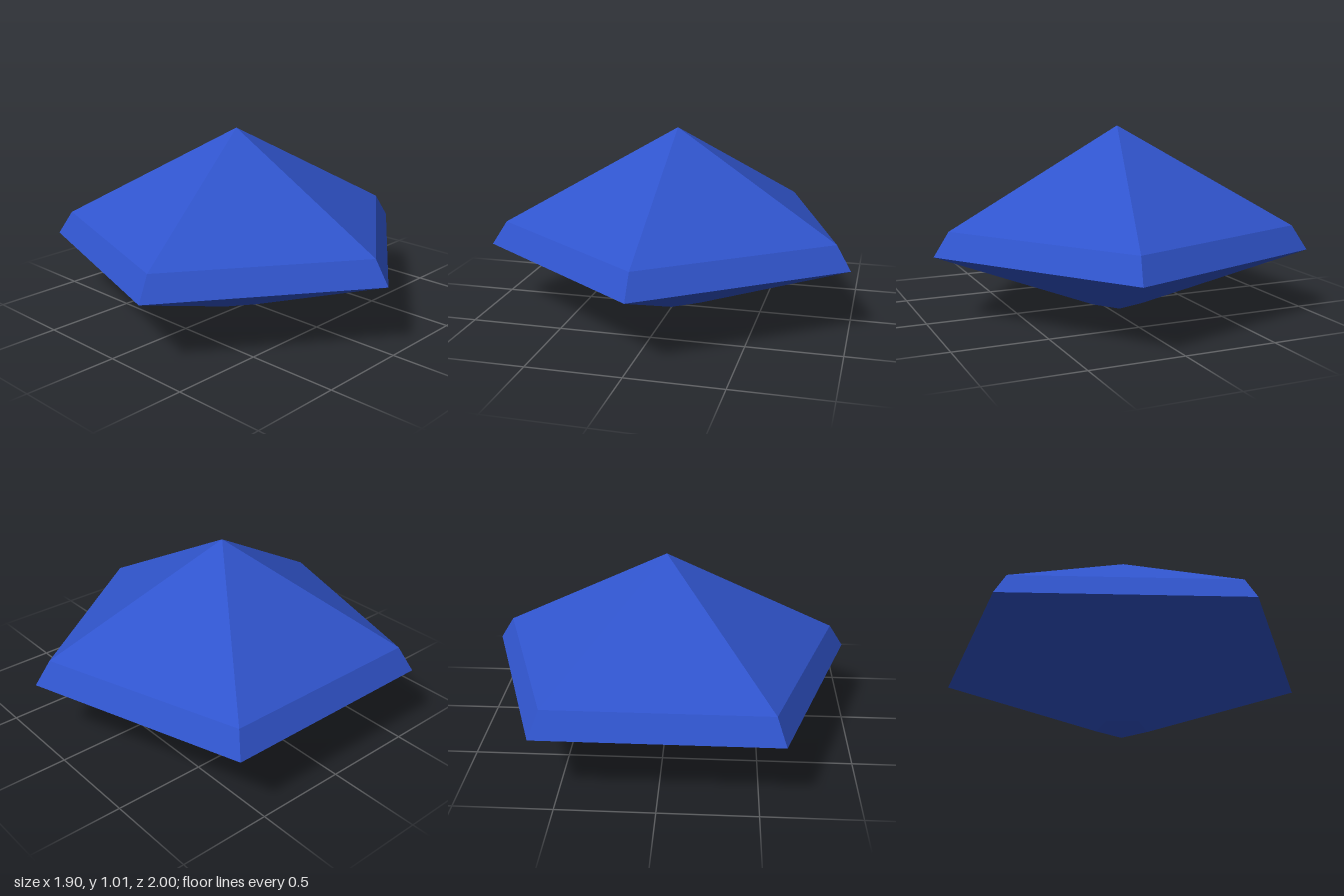
import * as THREE from 'three';

export function createModel() {
  const group = new THREE.Group();
  group.name = 'gem';

  // Five-sided gem: small flat base, wide girdle, bevelled rim, pointed crown
  const profile = [
    [0, 0], [0.147, 0], [1.0515, 0.355], [0.968, 0.485], [0, 1.01],
  ].map(([r, y]) => new THREE.Vector2(r, y));

  // Start the turn at +x so that one corner points that way
  const geometry = new THREE.LatheGeometry(profile, 5, Math.PI / 2);
  const material = new THREE.MeshStandardMaterial({ color: 0x3054cc, flatShading: true });
  const gem = new THREE.Mesh(geometry, material);
  gem.name = 'cutStone';
  gem.position.x = -0.1; // centre the pentagon's bounds
  group.add(gem);

  return group;
}
